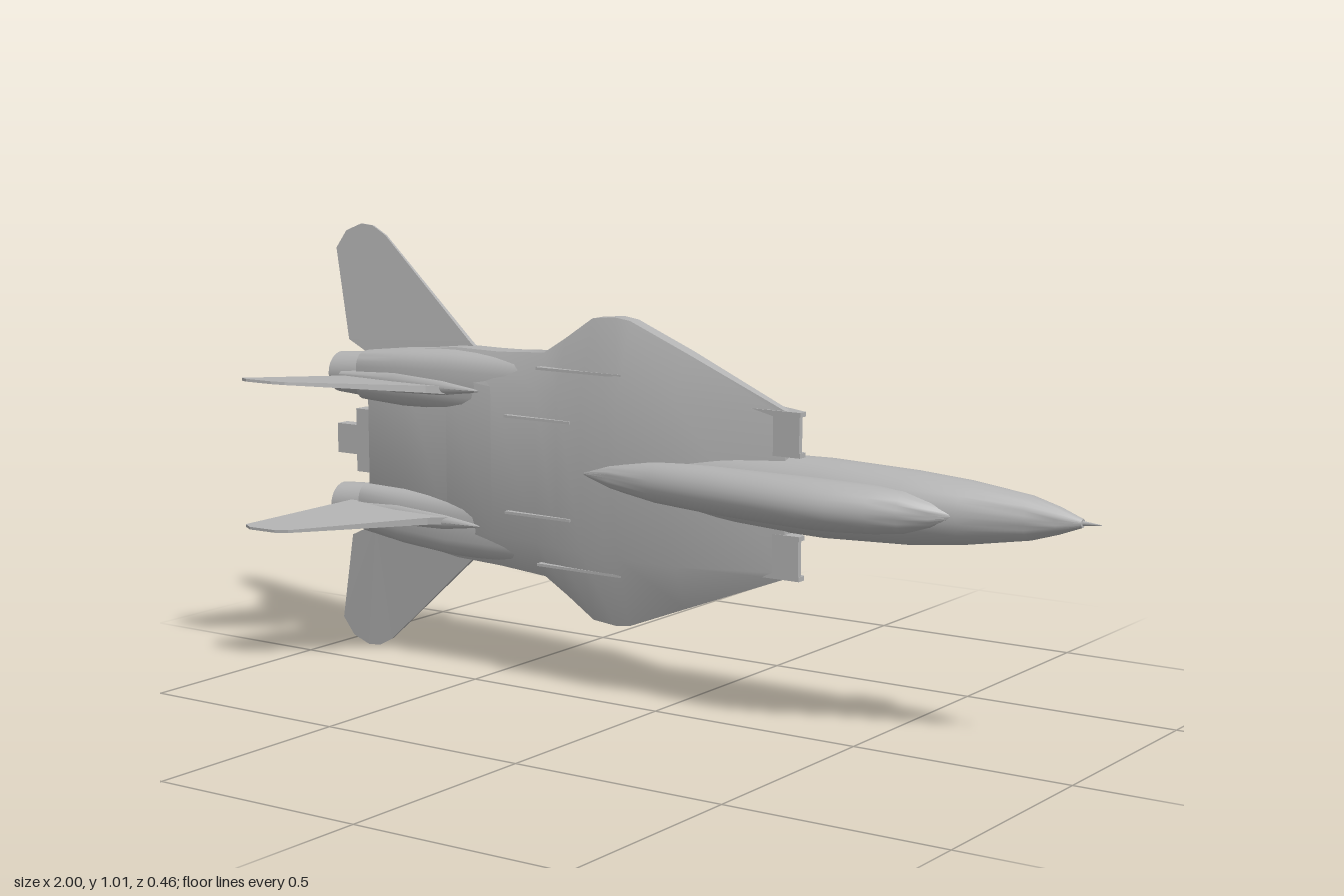
import * as THREE from 'three';
import { toCreasedNormals } from 'three/addons/utils/BufferGeometryUtils.js';

const grey = new THREE.MeshStandardMaterial({ color: 0xb3b3b3 });
grey.name = 'airframe grey';
grey.side = THREE.DoubleSide;

// Skin a list of rings (each [[x,y,z]...], counter-clockwise seen from the nose), nose to tail
function skin(rings, crease = 0.7) {
  const n = rings[0].length, pos = [], idx = [];
  rings.forEach(r => r.forEach(p => pos.push(...p)));
  for (let i = 0; i < rings.length - 1; i++) for (let j = 0; j < n; j++) {
    const a = i * n + j, b = i * n + (j + 1) % n, c = a + n, d = b + n;
    idx.push(a, c, b, b, c, d);
  }
  const last = (rings.length - 1) * n;
  for (let j = 1; j < n - 1; j++) idx.push(0, j, j + 1, last, last + j + 1, last + j);
  const g = new THREE.BufferGeometry();
  g.setAttribute('position', new THREE.Float32BufferAttribute(pos, 3));
  g.setIndex(idx);
  return toCreasedNormals(g, crease);
}

// Rounded cross-sections: rows of [x, centreY, halfWidth, top, bottom]
function loft(rows, power = 2, n = 28) {
  const round = v => Math.sign(v) * Math.abs(v) ** (2 / power);
  return skin(rows.map(([x, cy, hw, top, bot]) => Array.from({ length: n }, (_, j) => {
    const a = j / n * Math.PI * 2;
    return [x, cy + hw * round(Math.cos(a)), (top + bot) / 2 + (top - bot) / 2 * round(Math.sin(a))];
  })));
}

// Flat plate from an outline, thinning from span s0 to span s1
function plate(points, thick, s0 = 0, s1 = 0, tip = 1) {
  const shape = new THREE.Shape(points.map(p => new THREE.Vector2(...p)));
  const g = new THREE.ExtrudeGeometry(shape, { depth: thick, bevelEnabled: false });
  g.translate(0, 0, -thick / 2);
  const p = g.attributes.position;
  if (s0 !== s1) for (let i = 0; i < p.count; i++) {
    const t = THREE.MathUtils.clamp((p.getY(i) - s0) / (s1 - s0), 0, 1);
    p.setZ(i, p.getZ(i) * (1 + (tip - 1) * t));
  }
  g.computeVertexNormals();
  return g;
}

// Same, standing upright: outline in x and z
const upright = (...args) => plate(...args).rotateX(Math.PI / 2);

export function createModel() {
  const root = new THREE.Group();
  root.name = 'jetAircraft';
  const jet = new THREE.Group();
  jet.name = 'airframe';
  jet.position.y = 0.512;
  root.add(jet);
  const add = (name, geometry, x = 0, y = 0, z = 0) => {
    const m = new THREE.Mesh(geometry, grey);
    m.name = name;
    m.position.set(x, y, z);
    jet.add(m);
    return m;
  };

  // Forward fuselage tapering to a point under the body
  add('fuselage', loft([
    [0.96, 0.009, -0.09, -0.108], [0.91, 0.028, -0.075, -0.122], [0.85, 0.046, -0.055, -0.131],
    [0.72, 0.066, -0.012, -0.14], [0.6, 0.077, 0.02, -0.143], [0.4, 0.084, 0.03, -0.141],
    [0.2, 0.08, 0.025, -0.138], [0.05, 0.074, 0.01, -0.134], [-0.1, 0.055, -0.01, -0.126],
    [-0.25, 0.03, -0.03, -0.112], [-0.42, 0.003, -0.06, -0.09],
  ].map(([x, ...r]) => [x, 0, ...r])));

  // Canopy running back into the spine
  add('canopyAndSpine', loft([
    [0.72, 0.008, -0.014, -0.05], [0.67, 0.03, 0.01, -0.05], [0.61, 0.045, 0.036, -0.05],
    [0.55, 0.05, 0.06, -0.05], [0.47, 0.053, 0.08, -0.05], [0.4, 0.054, 0.086, -0.05],
    [0.3, 0.053, 0.078, -0.05], [0.15, 0.051, 0.058, -0.05], [0, 0.045, 0.034, -0.05],
    [-0.12, 0.03, 0.013, -0.05], [-0.2, 0.008, -0.004, -0.04],
  ].map(([x, ...r]) => [x, 0, ...r])));

  // Nose probe
  add('noseProbe', new THREE.CylinderGeometry(0.001, 0.006, 0.05, 8).rotateZ(-Math.PI / 2), 0.975, 0, -0.1);

  // Chin sensors
  for (const [y, z, x] of [[0, -0.158, 0.72], [0.013, -0.143, 0.71], [-0.013, -0.143, 0.71]])
    add('chinSensor', new THREE.SphereGeometry(0.012, 12, 8).scale(5, 0.9, 1), x, y, z);

  // Flat centre body with wing gloves: x, half span, shoulder, top, edge top, edge bottom, bottom
  add('centreBody', skin([
    [0.315, 0.178, 0.165, -0.02, -0.022, -0.04, -0.045],
    [0.05, 0.28, 0.18, -0.002, -0.042, -0.075, -0.088],
    [-0.1, 0.338, 0.18, 0, -0.048, -0.082, -0.09],
    [-0.14, 0.343, 0.18, -0.001, -0.048, -0.084, -0.09],
    [-0.2, 0.337, 0.18, -0.003, -0.048, -0.086, -0.092],
    [-0.27, 0.29, 0.175, -0.007, -0.046, -0.09, -0.095],
    [-0.33, 0.253, 0.17, -0.01, -0.044, -0.095, -0.1],
    [-0.46, 0.245, 0.17, -0.016, -0.05, -0.105, -0.105],
    [-0.6, 0.244, 0.18, -0.03, -0.065, -0.12, -0.11],
    [-0.74, 0.228, 0.18, -0.055, -0.08, -0.12, -0.115],
    [-0.87, 0.208, 0.17, -0.075, -0.09, -0.12, -0.118],
  ].map(([x, w, s, t, et, eb, b]) => [
    [w, et], [s, t], [-s, t], [-w, et], [-w, eb], [-s, b], [s, b], [w, eb],
  ].map(p => [x, ...p])), 0.5));

  // Stepped tail between the engines
  add('tailStep', new THREE.BoxGeometry(0.06, 0.15, 0.038), -0.88, 0, -0.097);
  add('tailStub', new THREE.BoxGeometry(0.12, 0.07, 0.034), -0.91, 0, -0.097);

  for (const s of [1, -1]) {
    const side = s > 0 ? 'left' : 'right';

    // Engine nacelle
    add(side + 'Nacelle', loft([
      [0.06, 0.135, 0.05, -0.03, -0.147], [-0.1, 0.15, 0.065, -0.03, -0.168],
      [-0.3, 0.164, 0.075, -0.03, -0.183], [-0.48, 0.166, 0.076, -0.022, -0.187],
      [-0.6, 0.166, 0.075, -0.018, -0.184], [-0.75, 0.162, 0.068, -0.026, -0.173],
      [-0.88, 0.157, 0.058, -0.044, -0.154],
    ].map(([x, y, ...r]) => [x, s * y, ...r]), 3.2));

    // Open exhaust nozzle
    const nozzle = [[0.044, 0], [0.044, -0.11], [0.048, -0.11], [0.055, 0.01]].map(p => new THREE.Vector2(...p));
    add(side + 'Nozzle', toCreasedNormals(new THREE.LatheGeometry(nozzle, 24).rotateZ(-Math.PI / 2), 0.6), -0.86, s * 0.157, -0.099);
    add(side + 'NozzleCore', new THREE.CylinderGeometry(0.045, 0.045, 0.01, 24).rotateZ(Math.PI / 2), -0.89, s * 0.157, -0.099);

    // Raked intake: roof ramp, two cheeks and a floor lip
    add(side + 'IntakeRamp', upright([[0.35, -0.018], [0.35, -0.03], [0.05, -0.09], [0.05, -0.018]], 0.09), 0, s * 0.13, 0);
    for (const y of [0.088, 0.174])
      add(side + 'IntakeCheek', upright([[0.352, -0.018], [0.352, -0.04], [0.25, -0.09], [0.1, -0.138], [0, -0.142], [0, -0.018]], 0.01), 0, s * y, 0);
    add(side + 'IntakeLip', new THREE.BoxGeometry(0.1, 0.09, 0.006), 0.05, s * 0.131, -0.138);

    // Canted vertical fin
    const fin = add(side + 'Fin', upright([
      [-0.5, -0.055], [-0.57, -0.028], [-0.63, 0.005], [-0.87, 0.212], [-0.9, 0.224],
      [-0.975, 0.226], [-1, 0.212], [-0.905, -0.055],
    ], 0.018, -0.03, 0.22, 0.35), 0, s * 0.152, 0);
    fin.rotation.x = -s * 0.085;

    // Fairing at the fin root
    add(side + 'FinFairing', loft([
      [-0.49, 0.003, -0.02, -0.04], [-0.6, 0.022, -0.01, -0.06], [-0.75, 0.03, -0.016, -0.08],
      [-0.93, 0.012, -0.04, -0.08],
    ].map(([x, ...r]) => [x, s * 0.155, ...r]), 2, 16));

    // Tailplane, drooping slightly toward the tip
    const tail = add(side + 'Tailplane', plate([
      [-0.5, 0.19], [-0.585, 0.255], [-0.85, 0.484], [-0.89, 0.505], [-0.925, 0.508],
      [-0.97, 0.49], [-0.998, 0.448], [-0.945, 0.235], [-0.87, 0.2],
    ].map(([x, y]) => [x, s * y]), 0.014, s * 0.22, s * 0.5, 0.4), 0, 0, -0.084);
    tail.rotation.x = -s * 0.088;

    // Ventral fin
    add(side + 'VentralFin', upright([
      [-0.75, -0.165], [-0.75, -0.187], [-0.52, -0.228], [-0.485, -0.233], [-0.455, -0.2], [-0.45, -0.165],
    ], 0.01), 0, s * 0.152, 0);

    // Thin fences on the upper surface
    add(side + 'InnerFence', new THREE.BoxGeometry(0.18, 0.006, 0.016), -0.32, s * 0.109, -0.008);
    add(side + 'OuterFence', new THREE.BoxGeometry(0.23, 0.006, 0.02), -0.215, s * 0.221, -0.022);
  }
  return root;
}
